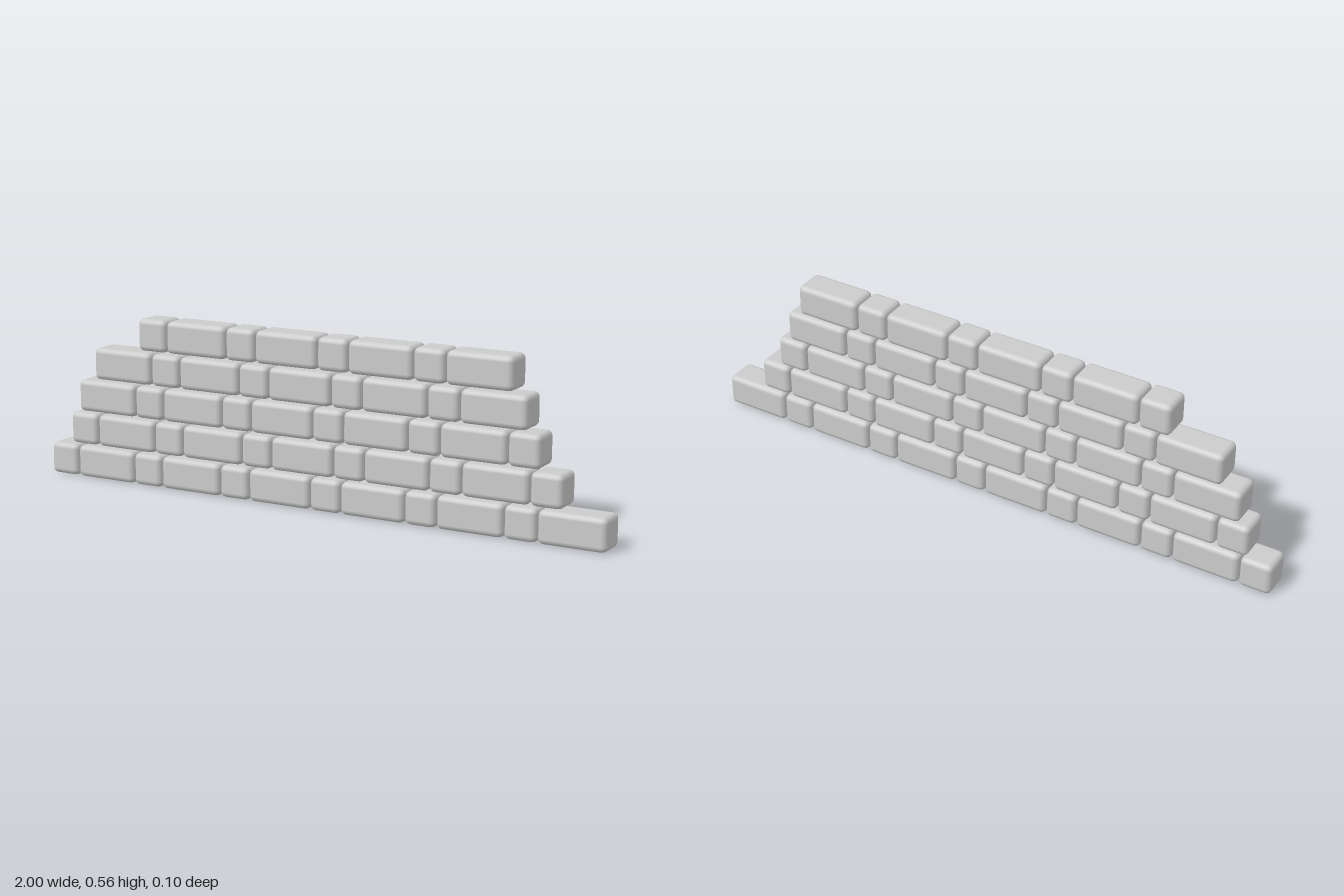
import * as THREE from 'three';
import { RoundedBoxGeometry } from 'three/addons/geometries/RoundedBoxGeometry.js';

const SHORT = 0.105, LONG = 0.2205, GAP = 0.004; // brick lengths and joint
const HEIGHT = 0.106, DEPTH = 0.105, PITCH = 0.1125;

// Courses from the ground up: left edge, brick count, whether a short brick comes first
const COURSES = [
  { start: -1.0, count: 12, shortFirst: true },
  { start: -0.917, count: 11, shortFirst: true },
  { start: -0.882, count: 10, shortFirst: false },
  { start: -0.817, count: 9, shortFirst: false },
  { start: -0.641, count: 8, shortFirst: true },
];

export function createModel() {
  const wall = new THREE.Group();
  wall.name = 'brickWall';
  const material = new THREE.MeshStandardMaterial({ color: 0xcccccc });

  // Softly rounded stones, shared by all courses
  const stone = (length) => new RoundedBoxGeometry(length, HEIGHT, DEPTH, 2, 0.018);
  const shortStone = stone(SHORT);
  const longStone = stone(LONG);

  COURSES.forEach(({ start, count, shortFirst }, row) => {
    const course = new THREE.Group();
    course.name = `course${row + 1}`;
    course.position.y = HEIGHT / 2 + row * PITCH;

    // Alternate short and long bricks along the course
    let x = start;
    for (let i = 0; i < count; i++) {
      const isShort = (i % 2 === 0) === shortFirst;
      const length = isShort ? SHORT : LONG;
      const brick = new THREE.Mesh(isShort ? shortStone : longStone, material);
      brick.name = isShort ? 'shortBrick' : 'longBrick';
      brick.position.x = x + length / 2;
      course.add(brick);
      x += length + GAP;
    }
    wall.add(course);
  });
  return wall;
}
